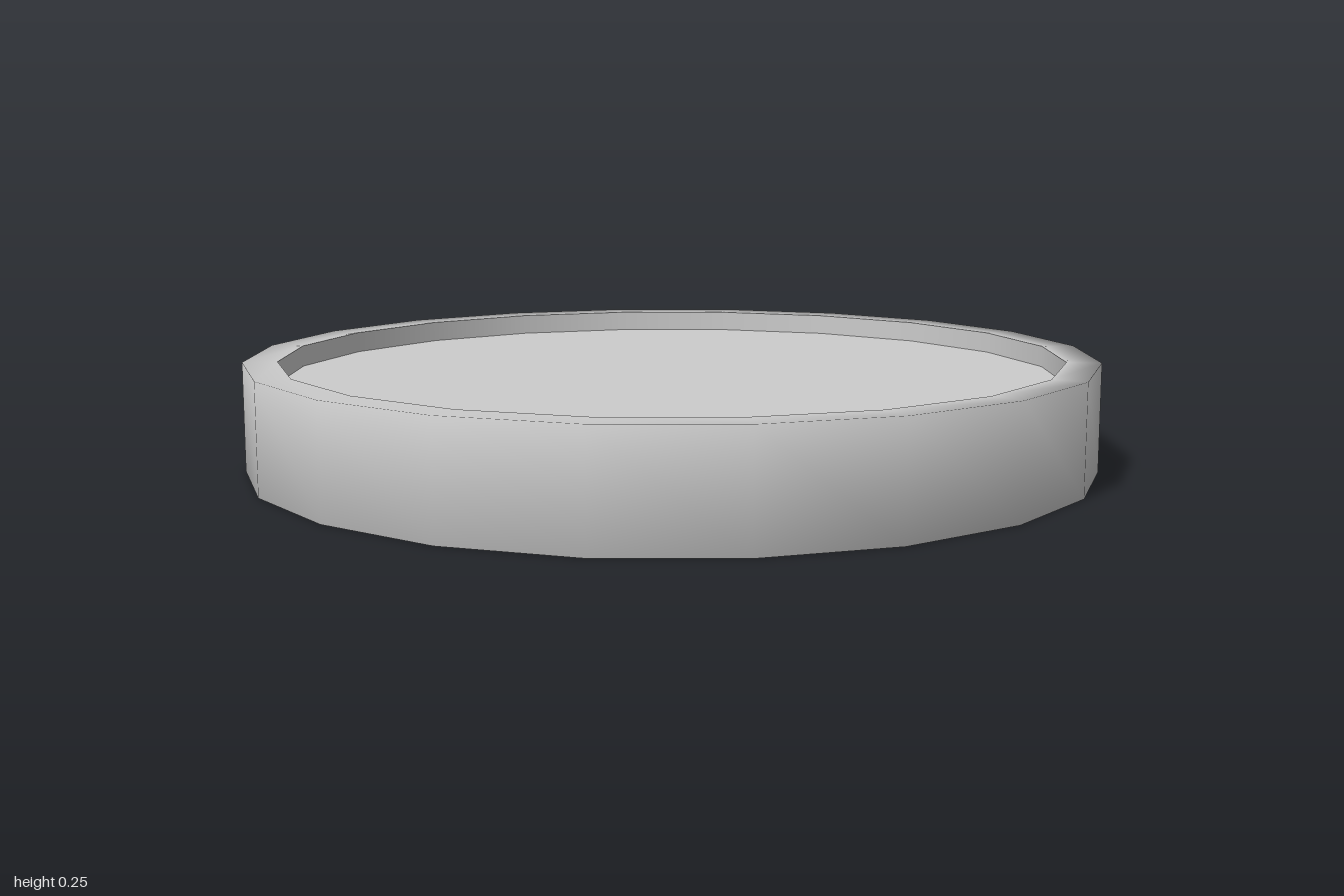
import * as THREE from 'three';

const SIDES = 20;
const HEIGHT = 0.255;
const RECESS = 0.05;
const OUTER = 1;
const INNER = 0.92;

export function createModel() {
  const group = new THREE.Group();
  group.name = 'recessedDisc';
  const material = new THREE.MeshStandardMaterial({ color: 0xcccccc });

  const add = (name, geometry) => {
    const mesh = new THREE.Mesh(geometry, material);
    mesh.name = name;
    group.add(mesh);
    return mesh;
  };
  const lathe = (points) =>
    new THREE.LatheGeometry(points.map(([r, y]) => new THREE.Vector2(r, y)), SIDES);

  // Outer band with both rims, shaded smoothly around its corners
  add('rim', lathe([[INNER, 0], [OUTER, 0], [OUTER, HEIGHT], [INNER, HEIGHT]]));

  // Inward-facing walls of the two shallow recesses
  add('topRecessWall', lathe([[INNER, HEIGHT], [INNER, HEIGHT - RECESS]]));
  add('bottomRecessWall', lathe([[INNER, RECESS], [INNER, 0]]));

  // Flat recessed faces
  const face = (name, y, up) => {
    const geometry = new THREE.CircleGeometry(INNER, SIDES).rotateX(up ? -Math.PI / 2 : Math.PI / 2);
    add(name, geometry).position.y = y;
  };
  face('topFace', HEIGHT - RECESS, true);
  face('bottomFace', RECESS, false);

  return group;
}
